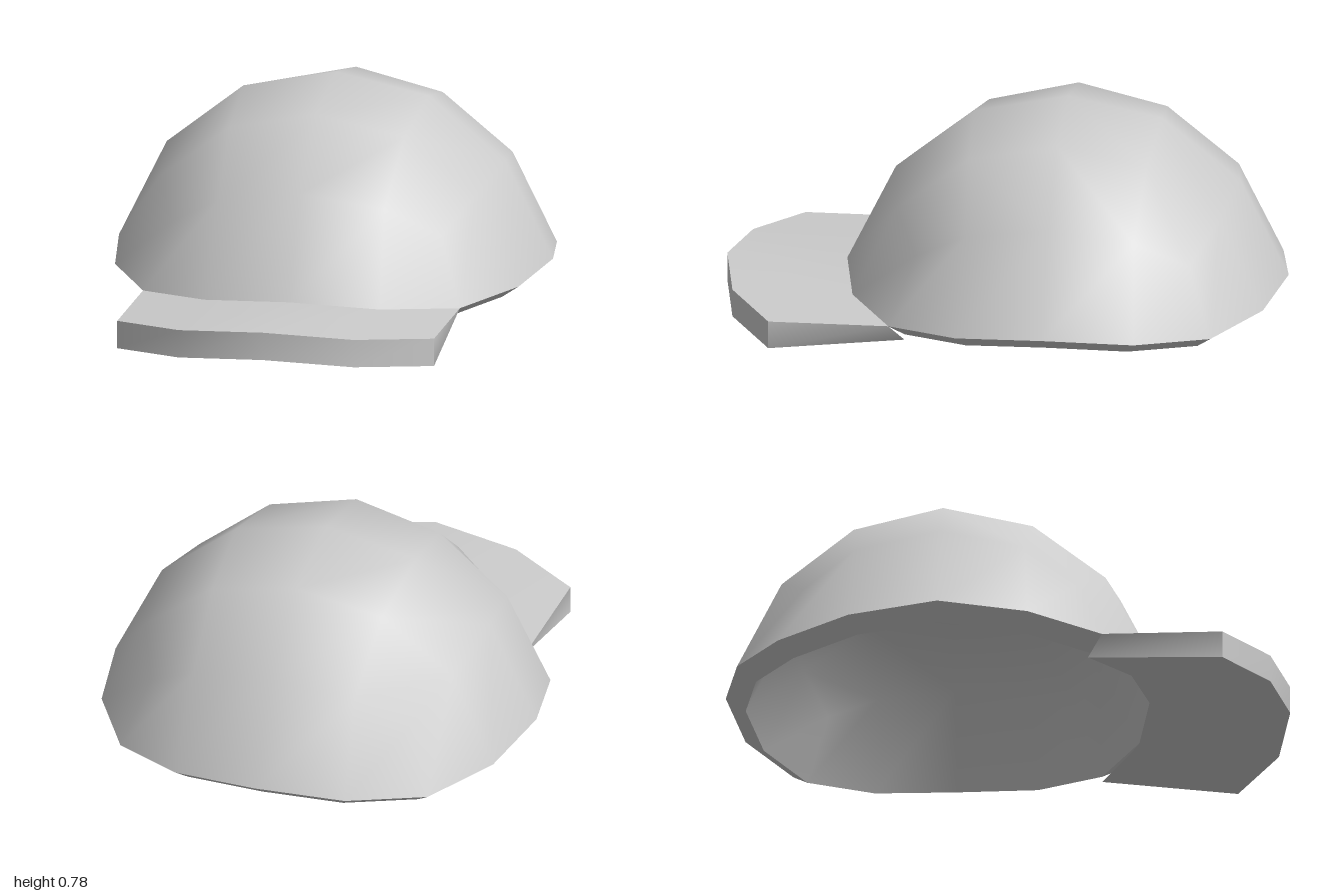
import * as THREE from 'three';
import { mergeGeometries, mergeVertices } from 'three/addons/utils/BufferGeometryUtils.js';

const ZC = -0.21; // crown centre along z

// Sheet of quads; rows run top to bottom, columns left to right as seen from its front
function sheet(rows) {
  const w = rows[0].length, index = [];
  for (let r = 0; r < rows.length - 1; r++)
    for (let c = 0; c < w - 1; c++) {
      const a = r * w + c, b = a + w;
      index.push(a, b, a + 1, b, b + 1, a + 1);
    }
  const g = new THREE.BufferGeometry();
  g.setAttribute('position', new THREE.Float32BufferAttribute(rows.flat(2), 3));
  g.setIndex(index);
  return g;
}

// Weld sheets into one smooth surface
function weld(sheets) {
  const g = mergeVertices(mergeGeometries(sheets), 1e-4);
  g.computeVertexNormals();
  return g;
}

// Rounded-cube patch: [along larger step, along smaller step, outward]
const PATCH = [
  [[0, 0, 0.84]],
  [[0.335, 0, 0.785], [0.317, 0.317, 0.73]],
  [[0.612, 0, 0.612], [0.573, 0.3, 0.573], [0.487, 0.487, 0.487]],
];
function patch(i, j) {
  const a = Math.abs(i), b = Math.abs(j);
  const [big, small, out] = PATCH[Math.max(a, b)][Math.min(a, b)];
  return [Math.sign(i) * (a >= b ? big : small), Math.sign(j) * (a >= b ? small : big), out];
}

const STEPS = [-2, -1, 0, 1, 2];
const outer = ([x, y, z]) => [x, y * 1.267 - 0.274, z + ZC];
const inner = ([x, y, z]) => [x * 0.91, y * 1.267 * 0.92 - 0.29, z * 0.91 + ZC];

// Row j of the side patch turned k quarter turns around the crown
function sideRow(j, k) {
  const c = [1, 0, -1, 0][k], s = [0, 1, 0, -1][k];
  return STEPS.map((i) => {
    const [u, v, w] = patch(i, j);
    return [u * c + w * s, v, -u * s + w * c];
  });
}

export function createModel() {
  const model = new THREE.Group();
  model.name = 'cap';
  const material = new THREE.MeshStandardMaterial({ color: 0xcccccc });
  const add = (name, sheets) => {
    const mesh = new THREE.Mesh(weld(sheets), material);
    mesh.name = name;
    model.add(mesh);
  };

  // Crown: top patch plus four side bands, outside and lining
  const top = STEPS.map((j) => STEPS.map((i) => {
    const [u, v, w] = patch(i, j);
    return [u, w, v];
  }));
  const sides = [0, 1, 2, 3].map((k) => [sideRow(2, k), sideRow(1, k)]);
  const patches = [top, ...sides];
  add('crown', patches.map((p) => sheet(p.map((row) => row.map(outer)))));
  add('crownLining', patches.map((p) => sheet(p.map((row) => row.map(inner).reverse()))));

  // Rim joining outside and lining
  add('rim', sides.map(([, row]) => sheet([row.map(outer), row.map(inner)])));

  // Brim: front of the rim pulled forward and thickened
  const rim = sides[0][1];
  const topBack = rim.map(outer);
  const topFront = topBack.map(([x, y, z]) => [x, y, z + 0.427]);
  const lowFront = topFront.map(([x, y, z]) => [x, y - 0.1, z]);
  const lowBack = rim.map(inner).map(([x, y, z], n) => [x, y - [0.02, 0.006, 0, 0.006, 0.02][n], z]);
  add('brimTop', [sheet([topBack, topFront])]);
  add('brimEdge', [sheet([topFront, lowFront])]);
  add('brimUnderside', [sheet([lowFront, lowBack])]);
  add('brimRightEnd', [sheet([[topBack[0], topFront[0]], [lowBack[0], lowFront[0]]])]);
  add('brimLeftEnd', [sheet([[topFront[4], topBack[4]], [lowFront[4], lowBack[4]]])]);

  return model;
}
